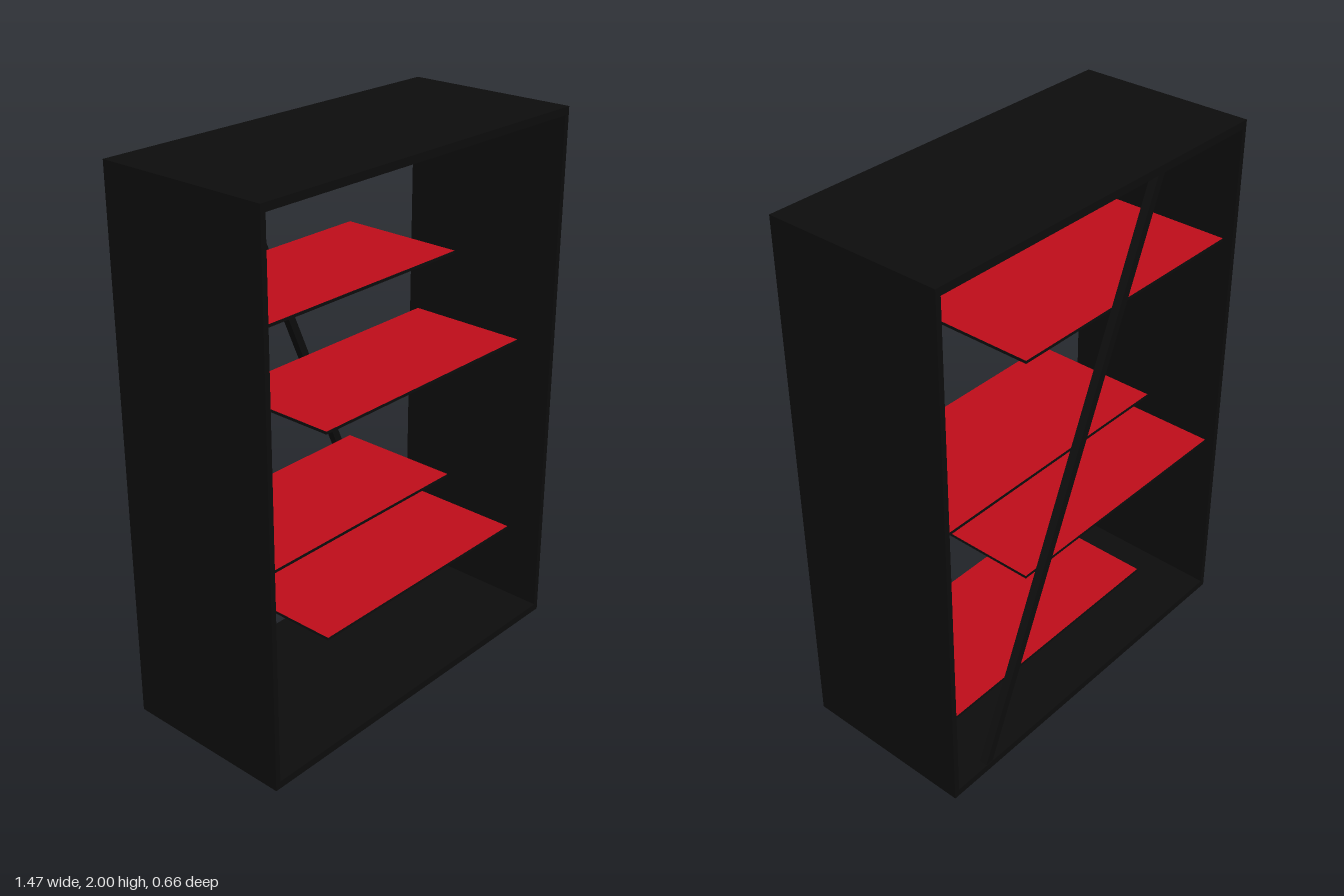
import * as THREE from 'three';

const W = 1.466, H = 2, D = 0.66;   // outer frame size
const SIDE = 0.02, SLAB = 0.028;    // panel thicknesses

const black = new THREE.MeshStandardMaterial({ color: 0x0d0d0d });
const red = new THREE.MeshStandardMaterial({ color: 0xc00d1a });

function add(parent, name, geometry, material, x = 0, y = 0, z = 0) {
  const mesh = new THREE.Mesh(geometry, material);
  mesh.name = name;
  mesh.position.set(x, y, z);
  parent.add(mesh);
  return mesh;
}

// Thin board with dark edges and red upper and lower faces
function makeShelf(side, y) {
  const shelf = new THREE.Group();
  shelf.name = side < 0 ? 'rightShelf' : 'leftShelf';
  const width = 1.033, depth = 0.474, thick = 0.01;
  add(shelf, 'shelfCore', new THREE.BoxGeometry(width, thick, depth), black);
  for (const s of [1, -1]) {
    const face = new THREE.PlaneGeometry(width, depth).rotateX(-s * Math.PI / 2);
    add(shelf, s > 0 ? 'shelfTopFace' : 'shelfUnderFace', face, red, 0, s * (thick / 2 + 0.001), 0);
  }
  shelf.position.set(side * (W / 2 - SIDE - width / 2), y, -0.054);
  return shelf;
}

export function createModel() {
  const model = new THREE.Group();
  model.name = 'shelvingUnit';

  // Outer frame: two side panels between a top and a bottom slab
  for (const s of [1, -1]) {
    add(model, s > 0 ? 'leftPanel' : 'rightPanel',
      new THREE.BoxGeometry(SIDE, H - 2 * SLAB, D), black, s * (W - SIDE) / 2, H / 2, 0);
    add(model, s > 0 ? 'topPanel' : 'bottomPanel',
      new THREE.BoxGeometry(W, SLAB, D), black, 0, H / 2 + s * (H - SLAB) / 2, 0);
  }

  // Shelves reach out from alternate sides
  [0.32, 1.11].forEach(y => model.add(makeShelf(1, y)));
  [0.705, 1.555].forEach(y => model.add(makeShelf(-1, y)));

  // Diagonal brace along the back, its ends cut level with the slabs
  const half = 0.016, xTop = -0.275, xBottom = 0.555;
  const outline = new THREE.Shape([
    new THREE.Vector2(xBottom - half, SLAB),
    new THREE.Vector2(xBottom + half, SLAB),
    new THREE.Vector2(xTop + half, H - SLAB),
    new THREE.Vector2(xTop - half, H - SLAB),
  ]);
  add(model, 'backBrace', new THREE.ExtrudeGeometry(outline, { depth: 0.03, bevelEnabled: false }),
    black, 0, 0, -D / 2 + 0.002);

  return model;
}
